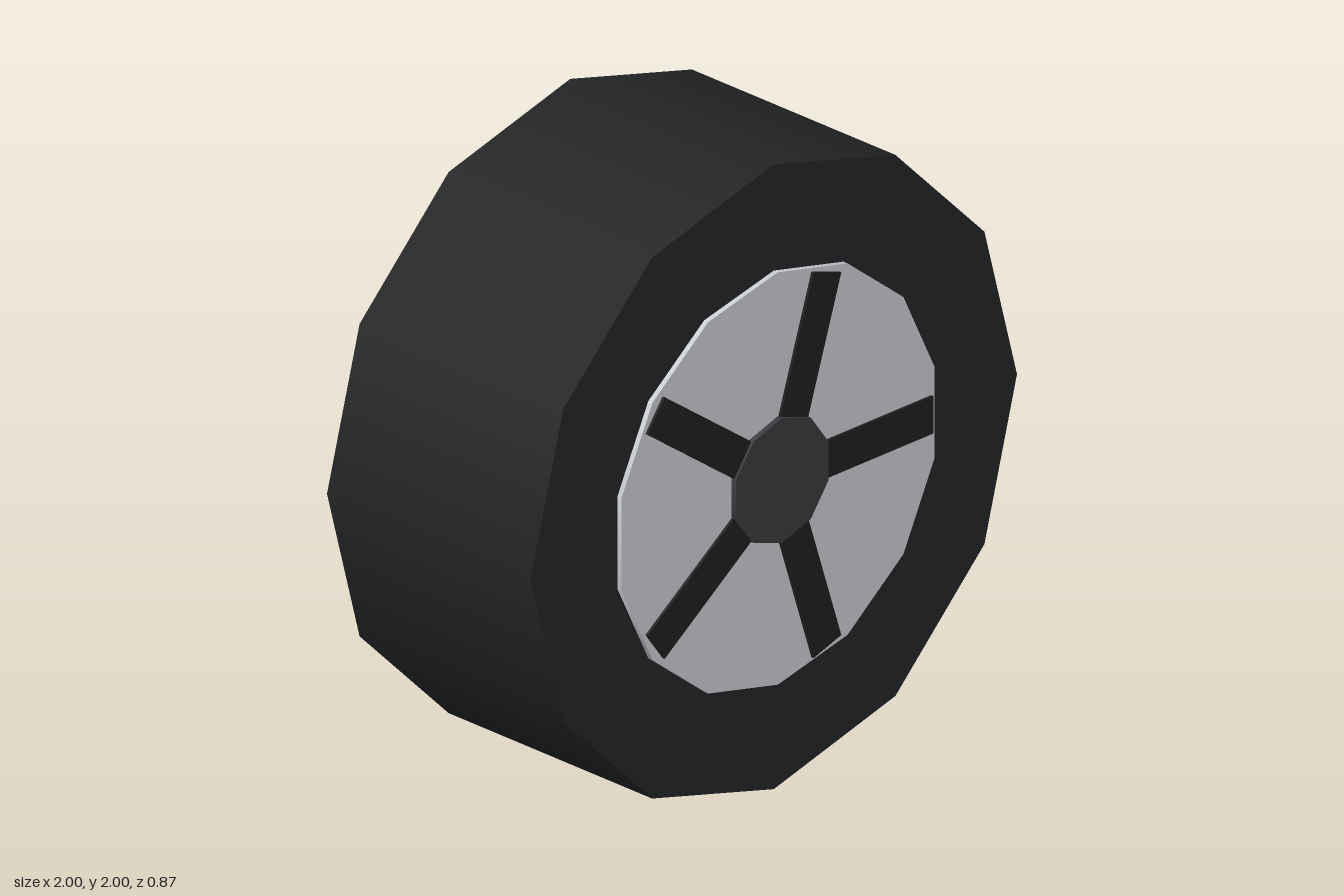
import * as THREE from 'three';

const material = (color) => new THREE.MeshStandardMaterial({ color });

// Cylinder lying along z, from z0 to z1, with a corner pointing straight up
function disc(name, radius, sides, z0, z1, mat) {
  const geometry = new THREE.CylinderGeometry(radius, radius, z1 - z0, sides);
  geometry.rotateX(Math.PI / 2);
  const mesh = new THREE.Mesh(geometry, mat);
  mesh.name = name;
  mesh.position.z = (z0 + z1) / 2;
  return mesh;
}

export function createModel() {
  const model = new THREE.Group();
  model.name = 'wheel';

  const wheel = new THREE.Group();
  wheel.name = 'wheelAssembly';
  wheel.position.y = 1;
  model.add(wheel);

  // Tyre, rim plate and hub cap, stacked towards the front
  wheel.add(disc('tyre', 1, 12, -0.435, 0.4, material(0x222426)));
  wheel.add(disc('rim', 0.66, 14, 0.3, 0.417, material(0xcacdd3)));
  wheel.add(disc('hub', 0.2, 10, 0.35, 0.435, material(0x3a3b3f)));

  // Five spokes radiating from the hub
  const spokeMaterial = material(0x1e2021);
  const spokeGeometry = new THREE.BoxGeometry(0.53, 0.12, 0.07);
  spokeGeometry.translate(0.365, 0, 0.391);
  for (let i = 0; i < 5; i++) {
    const spoke = new THREE.Mesh(spokeGeometry, spokeMaterial);
    spoke.name = 'spoke' + (i + 1);
    spoke.rotation.z = (i * Math.PI * 2) / 5;
    wheel.add(spoke);
  }

  return model;
}
